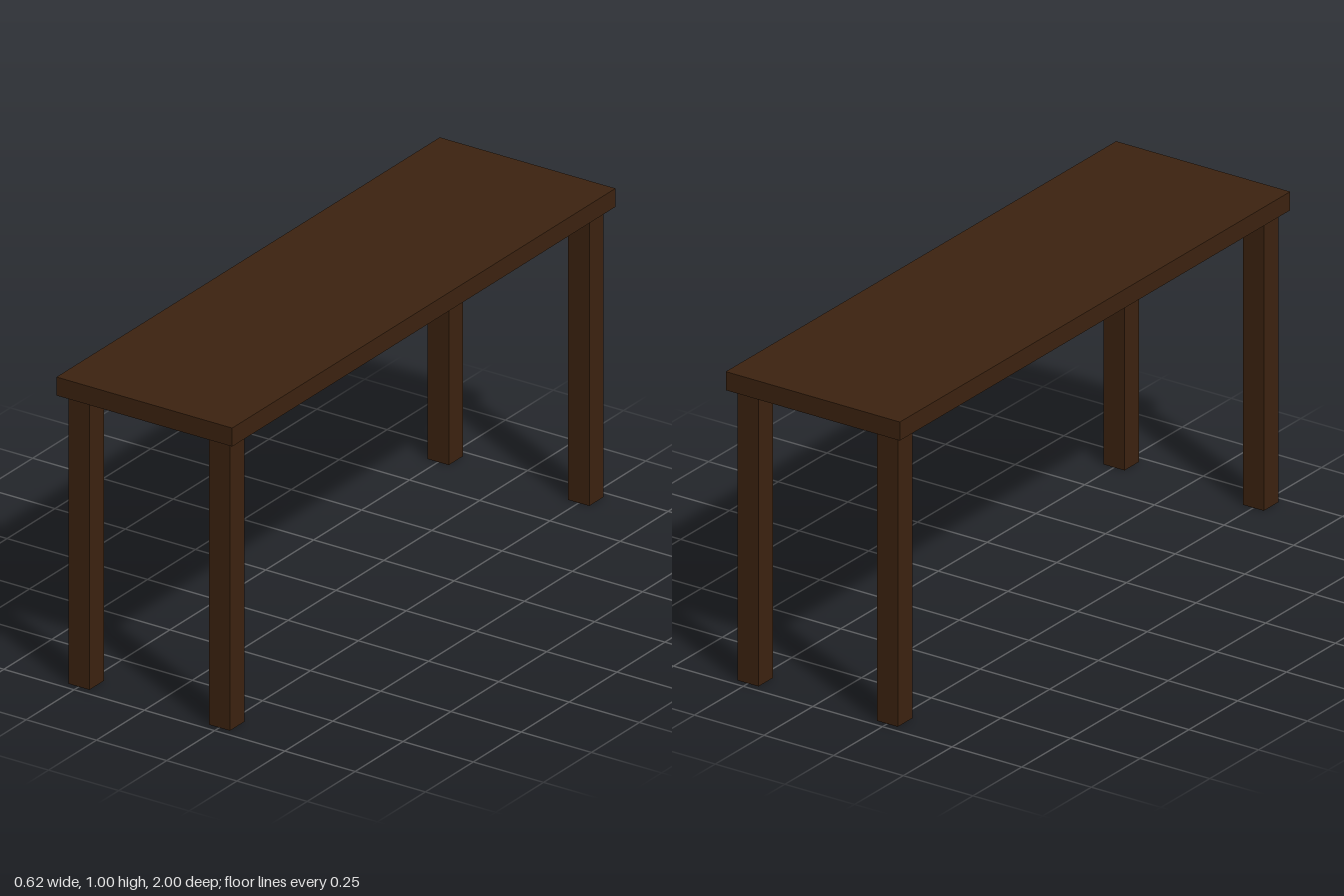
import * as THREE from 'three';

export function createModel() {
  const model = new THREE.Group();
  model.name = 'table';
  const darkWood = new THREE.MeshStandardMaterial({ name: 'darkWood', color: 0x3d2310 });

  const height = 1, topThickness = 0.06, legSize = 0.075;
  const legHeight = height - topThickness;

  // Table top
  const top = new THREE.Mesh(new THREE.BoxGeometry(0.625, topThickness, 2), darkWood);
  top.name = 'tableTop';
  top.position.y = height - topThickness / 2;
  model.add(top);

  // Four square legs, slightly inset from the corners
  const legGeometry = new THREE.BoxGeometry(legSize, legHeight, legSize);
  for (const [end, sz] of [['front', 1], ['back', -1]]) {
    for (const [side, sx] of [['Left', 1], ['Right', -1]]) {
      const leg = new THREE.Mesh(legGeometry, darkWood);
      leg.name = `${end}${side}Leg`;
      leg.position.set(sx * 0.25, legHeight / 2, sz * 0.9375);
      model.add(leg);
    }
  }
  return model;
}
